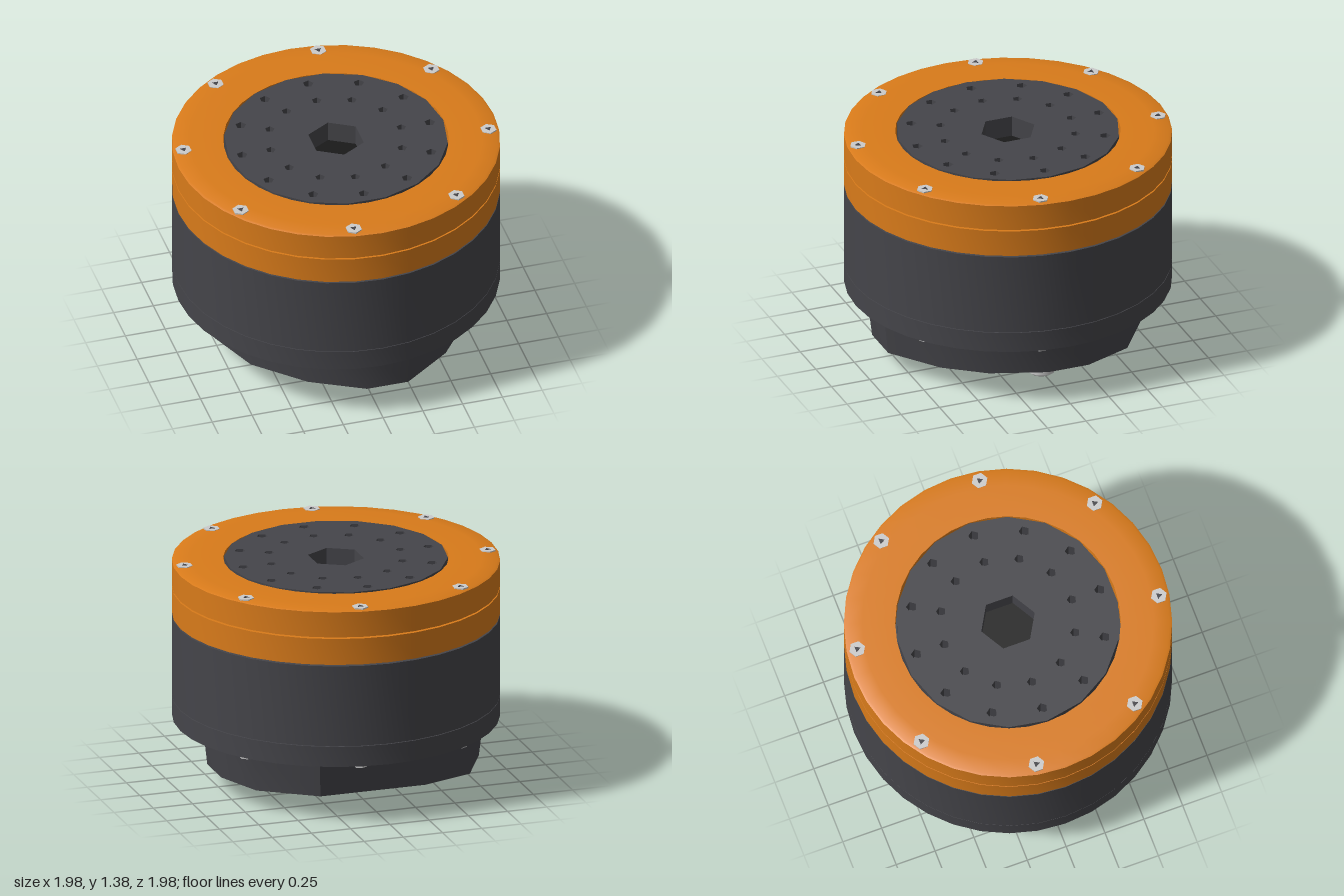
import * as THREE from 'three';
import { toCreasedNormals } from 'three/addons/utils/BufferGeometryUtils.js';

const mat = (color) => new THREE.MeshStandardMaterial({ color });
const orange = mat(0xd97b1a);
const dark = mat(0x45454a);
const black = mat(0x1a1a1a);
const grey = mat(0xcccccc);

export function createModel() {
  const model = new THREE.Group();

  function add(name, geometry, material, x = 0, y = 0, z = 0) {
    const mesh = new THREE.Mesh(geometry, material);
    mesh.name = name;
    mesh.position.set(x, y, z);
    model.add(mesh);
    return mesh;
  }

  // Turned part from [radius, y] points, running counter-clockwise
  function turned(name, points, material, sides = 36) {
    const profile = points.map(([r, y]) => new THREE.Vector2(r, y));
    add(name, toCreasedNormals(new THREE.LatheGeometry(profile, sides), 0.5), material);
  }

  // Upright cylinder between two heights
  function post(name, r, y0, y1, sides, material, x = 0, z = 0) {
    const geometry = toCreasedNormals(new THREE.CylinderGeometry(r, r, y1 - y0, sides), 0.5);
    return add(name, geometry, material, x, (y0 + y1) / 2, z);
  }

  // Points evenly spaced on a circle
  function ring(count, radius, offset = 0) {
    return Array.from({ length: count }, (_, i) => {
      const a = offset + (i / count) * Math.PI * 2;
      return [radius * Math.cos(a), radius * Math.sin(a)];
    });
  }

  function polygonHole(x, y, r, sides, turn = 0) {
    const points = ring(sides, r, turn).map(([px, py]) => new THREE.Vector2(x + px, y + py));
    return new THREE.Path(points);
  }

  // Motor housing with its lower flange
  turned('housingFlange', [[0.6, 0.38], [0.99, 0.38], [0.99, 0.508], [0.6, 0.508]], dark);
  turned('housing', [[0.6, 0.512], [0.99, 0.512], [0.99, 1.02], [0.6, 1.02]], dark);
  post('housingCore', 0.96, 0.42, 1.25, 36, dark);

  // Two stacked output rings
  turned('lowerRing', [[0.6, 1.03], [0.99, 1.03], [0.99, 1.195], [0.6, 1.195]], orange);
  turned('upperRing', [
    [0.68, 1.205], [0.99, 1.205], [0.99, 1.365], [0.975, 1.371],
    [0.88, 1.378], [0.68, 1.378], [0.68, 1.205],
  ], orange);

  // Output disc with two circles of holes and a hexagonal bore
  const disc = new THREE.Shape(ring(18, 0.675).map(([x, y]) => new THREE.Vector2(x, y)));
  disc.holes.push(polygonHole(0, 0, 0.172, 6, Math.PI / 6));
  for (const [x, y] of ring(12, 0.59)) disc.holes.push(polygonHole(x, y, 0.033, 5));
  for (const [x, y] of ring(12, 0.41)) disc.holes.push(polygonHole(x, y, 0.03, 5));
  const discGeometry = new THREE.ExtrudeGeometry(disc, { depth: 0.133, bevelEnabled: false });
  discGeometry.rotateX(-Math.PI / 2);
  add('outputDisc', discGeometry, dark, 0, 1.25, 0);
  post('boreFloor', 0.2, 1.2, 1.254, 24, black);

  // Screws through the rings, with sockets, and their ends below the flange
  for (const [x, z] of ring(8, 0.925, 0.172)) {
    turnedScrew(x, z);
    post('flangeScrew', 0.04, 0.36, 0.4, 6, grey, x, z);
  }
  function turnedScrew(x, z) {
    post('ringScrew', 0.05, 1.34, 1.38, 6, grey, x, z);
    post('screwSocket', 0.022, 1.36, 1.3815, 3, dark, x, z);
  }
  for (const [x, z] of ring(8, 0.92, 0.4)) {
    post('flangeHole', 0.035, 0.378, 0.4, 4, black, x, z);
  }

  // Rear cover: faceted outline, wider towards the top, open underneath
  const outline = [
    [0.2, 0.86], [-0.06, 0.86], [-0.38, 0.69], [-0.66, 0.42], [-0.79, 0.1], [-0.8, -0.32],
    [-0.64, -0.62], [-0.32, -0.73], [0.35, -0.73], [0.68, -0.5], [0.8, -0.2], [0.8, 0.06],
    [0.68, 0.4], [0.5, 0.64],
  ].map(([x, z]) => new THREE.Vector2(x, -z));
  const cover = new THREE.Shape(outline);
  cover.holes.push(polygonHole(0, 0, 0.64, 32));
  const coverGeometry = new THREE.ExtrudeGeometry(cover, { depth: 0.25, bevelEnabled: false });
  coverGeometry.rotateX(-Math.PI / 2);
  const p = coverGeometry.attributes.position;
  for (let i = 0; i < p.count; i++) {
    if (Math.hypot(p.getX(i), p.getZ(i)) < 0.66) continue;
    const s = 1 + 0.14 * p.getY(i);
    p.setX(i, p.getX(i) * s);
    p.setZ(i, p.getZ(i) * s);
  }
  add('rearCover', toCreasedNormals(coverGeometry, 0.6), dark, 0, 0.13, 0);
  post('circuitBoard', 0.645, 0.16, 0.2, 32, black);
  for (const [x, z] of ring(6, 0.71, 0.3)) {
    post('coverHole', 0.025, 0.1285, 0.15, 5, black, x, z);
  }

  // Fasteners on the circuit board
  for (const i of [1, 3, 5]) {
    const a = (i * Math.PI) / 3;
    post('boardScrew', 0.05, 0.08, 0.17, 6, grey, 0.535 * Math.cos(a), 0.535 * Math.sin(a));
  }
  turned('standoffPost', [
    [0.001, 0.03], [0.035, 0.03], [0.035, 0.0], [0.07, 0.0], [0.085, 0.012], [0.085, 0.17],
  ], grey, 14);
  model.children[model.children.length - 1].position.x = 0.535;

  // Plugs: a wedge-fronted main connector and a small one
  const wedge = new THREE.Shape([
    new THREE.Vector2(-0.34, 0.02), new THREE.Vector2(-0.34, 0.17),
    new THREE.Vector2(-0.52, 0.17), new THREE.Vector2(-0.48, 0.07), new THREE.Vector2(-0.4, 0.02),
  ]);
  const wedgeGeometry = new THREE.ExtrudeGeometry(wedge, { depth: 0.28, bevelEnabled: false });
  wedgeGeometry.rotateY(Math.PI / 2);
  add('mainConnector', wedgeGeometry, black, -0.14, 0, 0);
  add('smallConnector', new THREE.BoxGeometry(0.09, 0.12, 0.07), dark, -0.195, 0.11, 0.52);

  return model;
}
